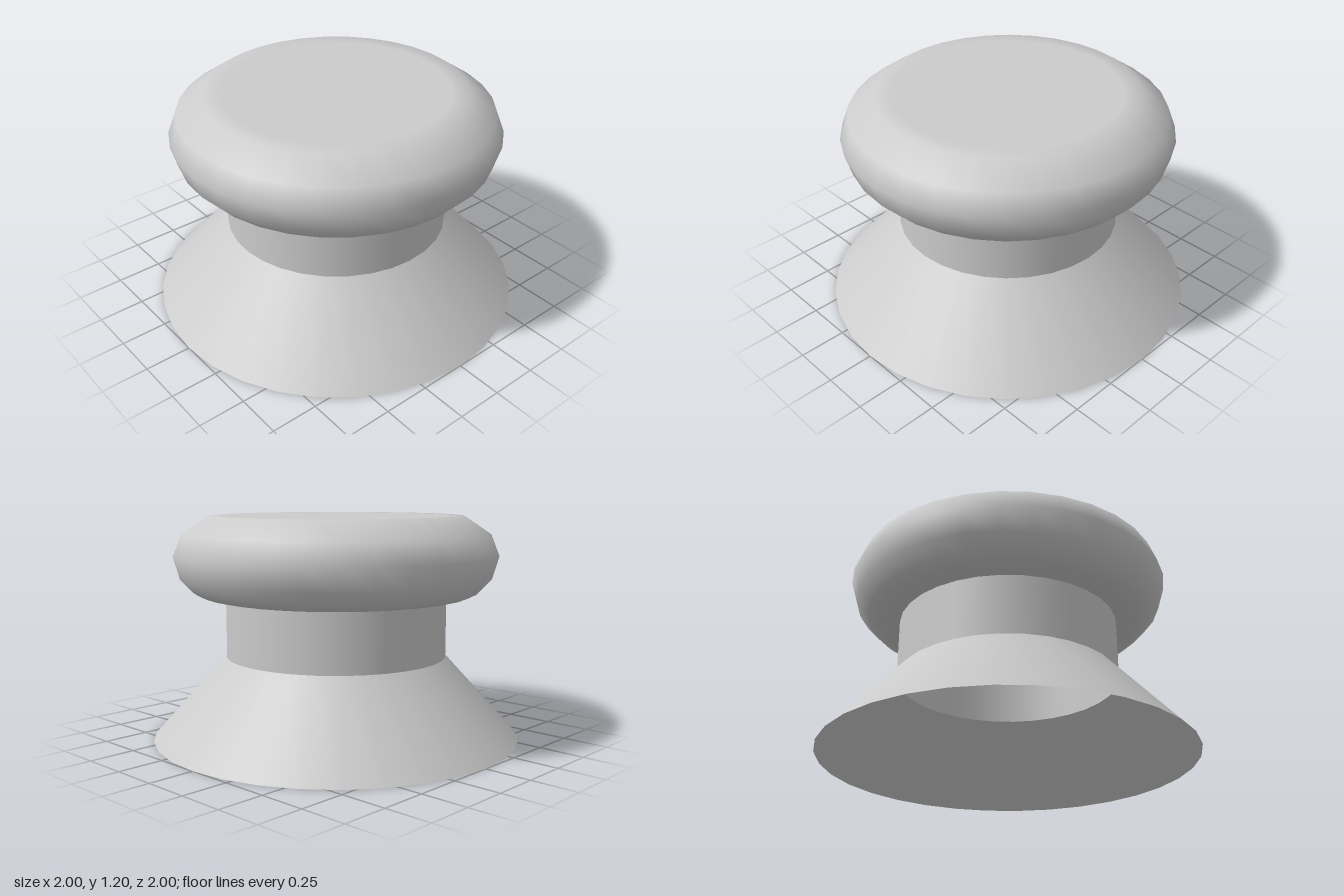
import * as THREE from 'three';

const SIDES = 32;

// Thin turned shell from [radius, height] pairs listed bottom to top
function turned(name, profile) {
  const points = profile.map(([r, y]) => new THREE.Vector2(r, y));
  const material = new THREE.MeshStandardMaterial({ color: 0xcccccc, side: THREE.DoubleSide });
  const mesh = new THREE.Mesh(new THREE.LatheGeometry(points, SIDES), material);
  mesh.name = name;
  return mesh;
}

export function createModel() {
  const model = new THREE.Group();
  model.name = 'knob';

  // Flared skirt, open underneath
  model.add(turned('flaredBase', [[1, 0], [0.6, 0.44]]));

  // Straight hollow neck
  model.add(turned('neck', [[0.6, 0.44], [0.6, 0.765]]));

  // Rounded hollow cap with a flat top, open into the neck
  model.add(turned('roundedCap', [
    [0.6, 0.765], [0.68, 0.765], [0.725, 0.775], [0.775, 0.8], [0.84, 0.87],
    [0.875, 0.99], [0.83, 1.105], [0.69, 1.2], [0.6, 1.2], [0, 1.2],
  ]));

  return model;
}
